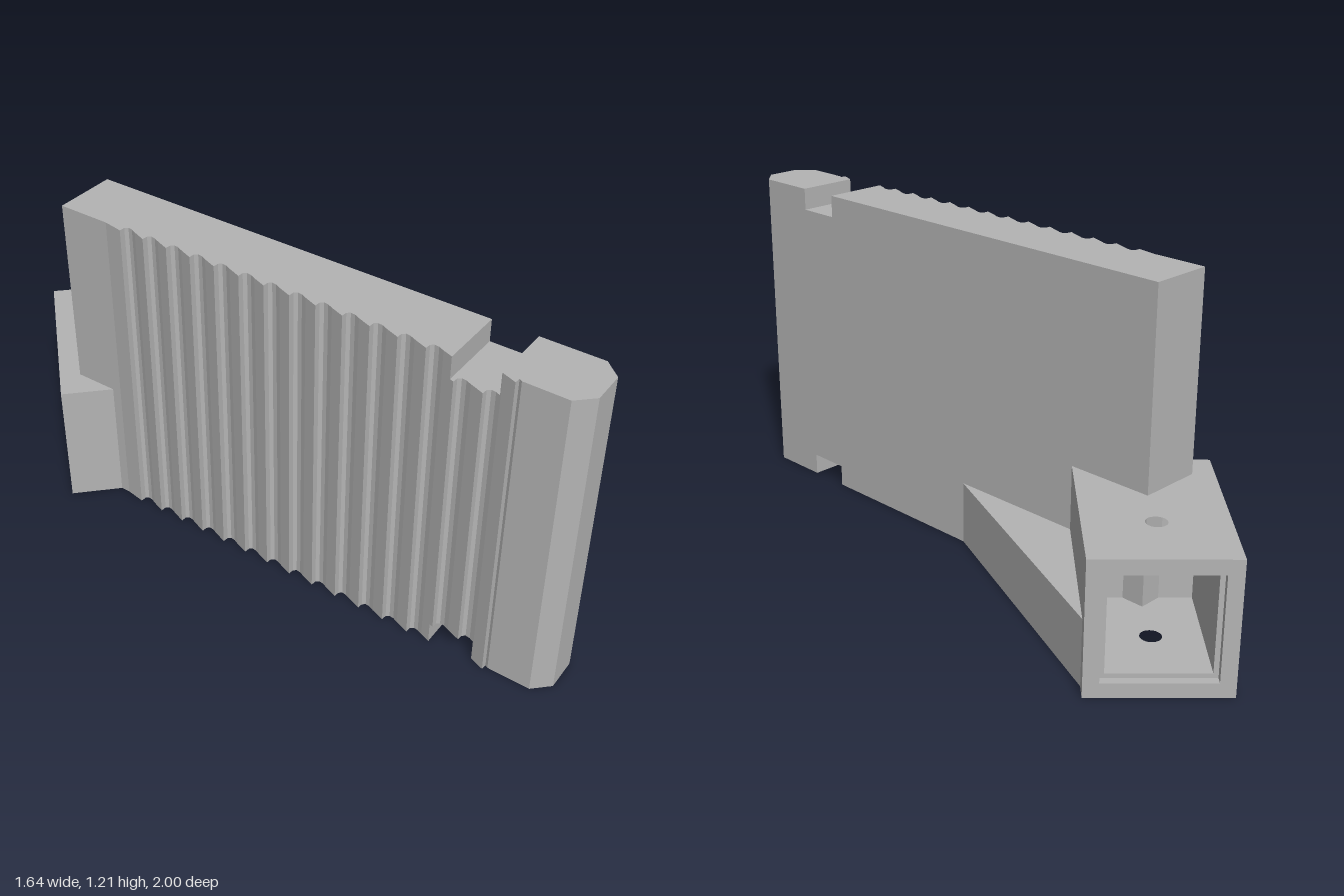
import * as THREE from 'three';

const grey = new THREE.MeshStandardMaterial({ color: 0xb4b4b4 });
grey.name = 'plain grey';

// Extrude a plan outline of [x, z] points upward from y0 to y1
function slab(name, plan, y0, y1, hole) {
  const shape = new THREE.Shape(plan.map(([x, z]) => new THREE.Vector2(x, -z)));
  if (hole) {
    const path = new THREE.Path();
    path.absarc(hole[0], -hole[1], hole[2], 0, Math.PI * 2, true);
    shape.holes.push(path);
  }
  const geo = new THREE.ExtrudeGeometry(shape, { depth: y1 - y0, bevelEnabled: false, curveSegments: 16 });
  geo.rotateX(-Math.PI / 2);
  geo.translate(0, y0, 0);
  const mesh = new THREE.Mesh(geo, grey);
  mesh.name = name;
  return mesh;
}

const rect = (x0, x1, z0, z1) => [[x0, z0], [x1, z0], [x1, z1], [x0, z1]];

// Plate coordinates: s runs along the diagonal plate, t runs across it
const toPlan = ([s, t]) => [(s - t) * Math.SQRT1_2, (s + t) * Math.SQRT1_2];

function ridgedPlate() {
  const group = new THREE.Group();
  group.name = 'ridgedPlate';
  const height = 1.213, notch = 0.083, back = 0.009, face = 0.248;
  const start = -0.802, cutA = 0.771, cutB = 0.933;

  // Sawtooth front edge
  const edge = [[start, face], [-0.6, face]];
  for (let i = 0; i < 16; i++) {
    const s = -0.525 + i * 0.1008;
    edge.push([s, 0.261], [s + 0.002, 0.24]);
    if (i < 15) edge.push([s + 0.013, 0.231], [s + 0.03, 0.233], [s + 0.05, 0.242]);
  }
  edge.push([1.0, 0.246], [1.16, face]);

  const heightAt = (s) => {
    const i = edge.findIndex((p) => p[0] >= s);
    if (i <= 0) return face;
    const [a, b] = [edge[i - 1], edge[i]];
    return a[1] + (b[1] - a[1]) * (s - a[0]) / (b[0] - a[0]);
  };
  const section = (name, s0, s1, y0, y1, tip = []) => {
    const inner = edge.filter((p) => p[0] > s0 && p[0] < s1);
    const outline = [[s0, back], [s0, heightAt(s0)], ...inner, [s1, heightAt(s1)], ...tip, [s1, back]];
    group.add(slab(name, outline.map(toPlan), y0, y1));
  };

  section('plateBody', start, cutA, 0, height);
  section('plateNotch', cutA, cutB, notch, height - notch);
  section('plateEnd', cutB, 1.16, 0, height, [[1.22, 0.19], [1.22, 0.066]]);
  return group;
}

function socket() {
  const group = new THREE.Group();
  group.name = 'socket';
  const x0 = -0.82, x1 = -0.34, h = 0.485, wall = 0.07, mouth = -0.97, end = -0.5;
  const pin = [-0.58, -0.75, 0.037];

  // Floor and roof carry the pin hole
  group.add(slab('socketFloor', rect(x0, x1, mouth, end), 0, wall, pin));
  group.add(slab('socketRoof', rect(x0, x1, mouth, end), h - wall, h, pin));
  group.add(slab('socketRightWall', rect(x0, x0 + wall, mouth, end), wall, h - wall));
  group.add(slab('socketLeftWall', rect(x1 - wall, x1, mouth, end), wall, h - wall));
  group.add(slab('socketSolidFront', rect(x0, x1, end, -0.275), 0, h));

  // Wider rim around the open mouth
  const lip = 0.053;
  const box = (C, d) => new C([[x0 + d, d], [x1 - d, d], [x1 - d, h - d], [x0 + d, h - d]]
    .map(([x, y]) => new THREE.Vector2(x, y)));
  const rim = box(THREE.Shape, 0);
  rim.holes.push(box(THREE.Path, lip));
  const geo = new THREE.ExtrudeGeometry(rim, { depth: 0.03, bevelEnabled: false });
  geo.translate(0, 0, -1);
  const mesh = new THREE.Mesh(geo, grey);
  mesh.name = 'socketRim';
  group.add(mesh);
  return group;
}

export function createModel() {
  const model = new THREE.Group();
  model.name = 'socketedRidgedPlate';
  model.add(ridgedPlate(), socket());
  // Low brace filling the angle between socket and plate
  model.add(slab('brace', [[-0.345, -0.94], [-0.34, -0.935], [0.035, 0.047], [0.0, 0.05], [-0.345, -0.3]], 0, 0.243));
  return model;
}
